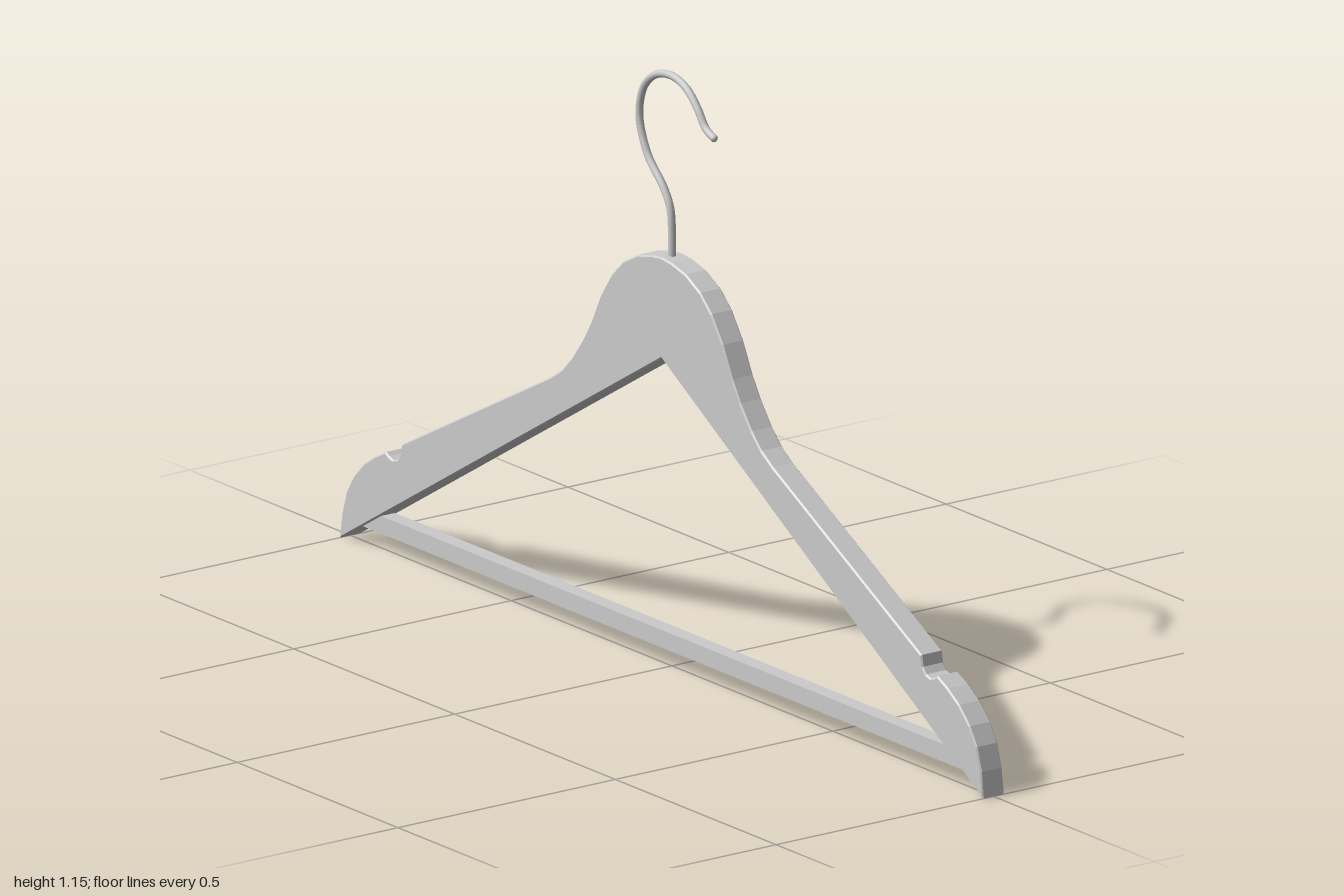
import * as THREE from 'three';

const THICKNESS = 0.05;
const BEVEL = 0.003;

function addMesh(group, name, geometry, material) {
  const mesh = new THREE.Mesh(geometry, material);
  mesh.name = name;
  group.add(mesh);
  return mesh;
}

// Shoulder outline: upper edge from neck to tip on one side, mirrored for the other
function shoulderGeometry() {
  const half = [
    [0.03, 0.793], [0.075, 0.782], [0.12, 0.758], [0.155, 0.725], [0.19, 0.675],
    [0.22, 0.615], [0.245, 0.575], [0.28, 0.53], [0.31, 0.5], [0.345, 0.477],
    // straight arm, then the strap notch
    [0.808, 0.23], [0.812, 0.208], [0.822, 0.196], [0.836, 0.192], [0.848, 0.196], [0.858, 0.202],
    // rounded end
    [0.89, 0.186], [0.925, 0.163], [0.958, 0.13], [0.98, 0.095], [0.994, 0.05], [1, 0],
  ];
  const outline = [
    ...half.map(([z, y]) => new THREE.Vector2(-z, y)).reverse(),
    new THREE.Vector2(0, 0.796),
    ...half.map(([z, y]) => new THREE.Vector2(z, y)),
    new THREE.Vector2(0, 0.6),
  ];
  const depth = THICKNESS - 2 * BEVEL;
  const geometry = new THREE.ExtrudeGeometry(new THREE.Shape(outline), {
    depth, bevelEnabled: true, bevelSize: BEVEL, bevelThickness: BEVEL,
    bevelOffset: -BEVEL, bevelSegments: 1,
  });
  // The outline lies in the z-y plane, with its thickness along x
  return geometry.translate(0, 0, -depth / 2).rotateY(-Math.PI / 2);
}

export function createModel() {
  const group = new THREE.Group();
  group.name = 'coatHanger';
  const material = new THREE.MeshStandardMaterial({ color: 0xcccccc });

  addMesh(group, 'shoulders', shoulderGeometry(), material);

  // Trouser bar, let into both arms
  const bar = addMesh(group, 'trouserBar', new THREE.BoxGeometry(0.032, 0.034, 1.88), material);
  bar.position.y = 0.053;

  // Wire hook
  const hookPath = new THREE.CatmullRomCurve3([
    [0, 0.77], [0, 0.83], [-0.005, 0.885], [-0.025, 0.92], [-0.075, 0.972], [-0.1, 1.03],
    [-0.1, 1.065], [-0.085, 1.105], [-0.05, 1.134], [0, 1.144], [0.045, 1.131],
    [0.08, 1.1], [0.105, 1.068], [0.13, 1.056],
  ].map(([z, y]) => new THREE.Vector3(0, y, z)));
  const radius = 0.0075;
  addMesh(group, 'hook', new THREE.TubeGeometry(hookPath, 72, radius, 12), material);

  // Rounded wire end
  const tip = addMesh(group, 'hookTip', new THREE.SphereGeometry(radius, 12, 8), material);
  tip.position.copy(hookPath.getPoint(1));

  return group;
}
